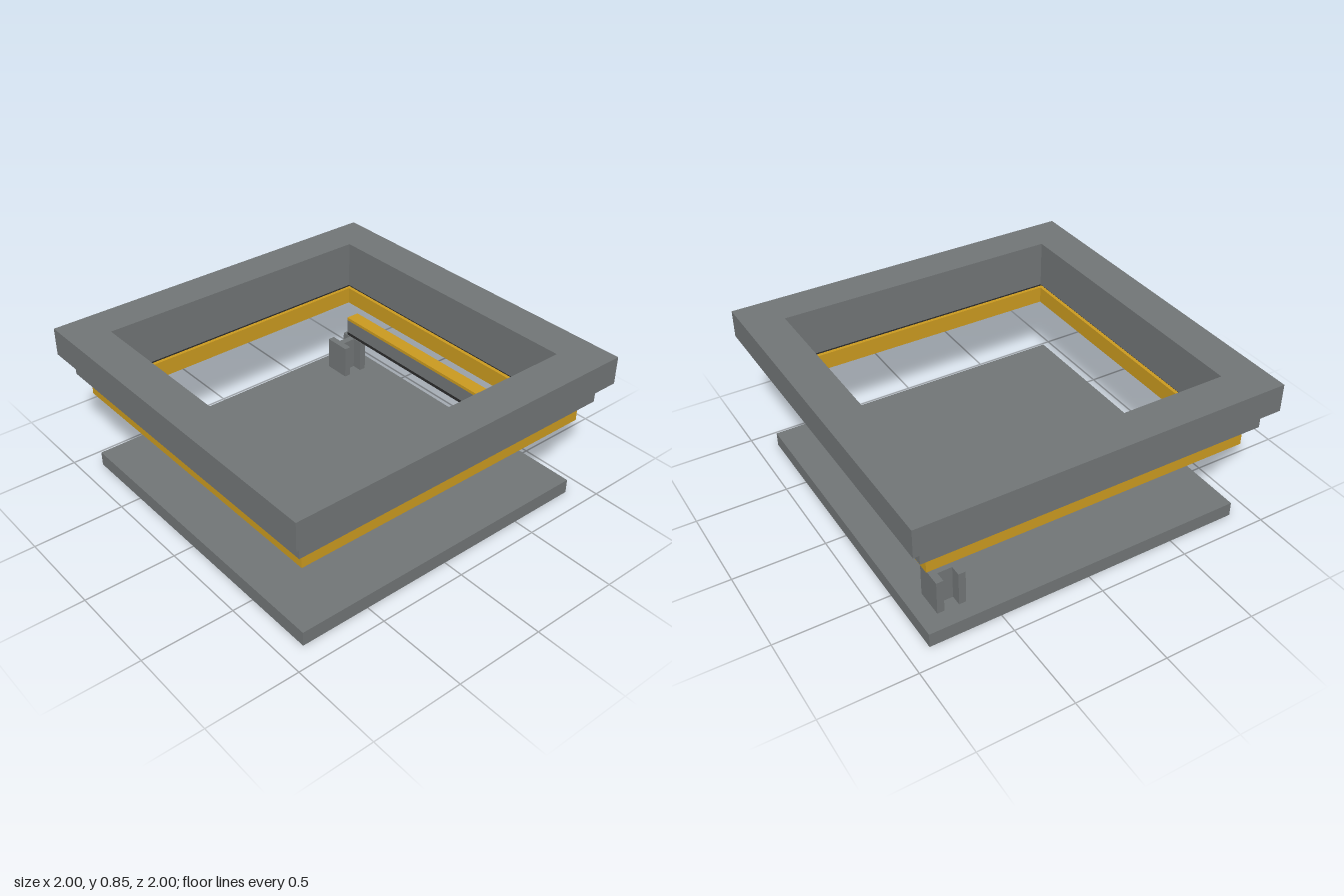
import * as THREE from 'three';

export function createModel() {
  const model = new THREE.Group();
  const grey = new THREE.MeshStandardMaterial({ color: 0x707475 });
  grey.name = 'grey';
  const gold = new THREE.MeshStandardMaterial({ color: 0xc8981f });
  gold.name = 'gold';
  const black = new THREE.MeshStandardMaterial({ color: 0x2b2b2b });
  black.name = 'black';

  const add = (name, geometry, material) => {
    const mesh = new THREE.Mesh(geometry, material);
    mesh.name = name;
    model.add(mesh);
  };

  // Box given by its limits on each axis
  const box = (name, material, [x0, x1], [y0, y1], [z0, z1]) => {
    const g = new THREE.BoxGeometry(x1 - x0, y1 - y0, z1 - z0);
    g.translate((x0 + x1) / 2, (y0 + y1) / 2, (z0 + z1) / 2);
    add(name, g, material);
  };

  // Plan outline (x, z) raised from y0 to y1
  const raise = (shape, y0, y1) =>
    new THREE.ExtrudeGeometry(shape, { depth: y1 - y0, bevelEnabled: false })
      .rotateX(-Math.PI / 2).translate(0, y0, 0);

  const square = (h) => [[-h, -h], [h, -h], [h, h], [-h, h]].map(([x, y]) => new THREE.Vector2(x, y));

  // Square frame with a square opening
  const ring = (name, material, outer, inner, y0, y1) => {
    const shape = new THREE.Shape(square(outer));
    shape.holes.push(new THREE.Path(square(inner)));
    add(name, raise(shape, y0, y1), material);
  };

  // Stepped upper frame
  ring('topFrame', grey, 1, 0.79, 0.695, 0.847);
  ring('steppedFrame', grey, 0.94, 0.79, 0.582, 0.695);
  ring('frameGasket', black, 0.886, 0.81, 0.56, 0.582);
  ring('goldFrame', gold, 0.886, 0.79, 0.465, 0.56);

  // Cross bar along the back
  const barX = [-0.71, 0.71], barZ = [-0.79, -0.712];
  box('barCap', gold, barX, [0.408, 0.425], barZ);
  box('bar', grey, barX, [0.328, 0.408], barZ);
  box('barGasket', black, barX, [0.31, 0.328], barZ);

  // I-section post at the back right corner
  const post = [
    [-0.79, 0.79], [-0.79, 0.752], [-0.732, 0.752], [-0.732, 0.674],
    [-0.79, 0.674], [-0.79, 0.636], [-0.636, 0.636], [-0.636, 0.674],
    [-0.694, 0.674], [-0.694, 0.752], [-0.636, 0.752], [-0.636, 0.79],
  ].map(([x, y]) => new THREE.Vector2(x, y));
  add('cornerPost', raise(new THREE.Shape(post), 0.08, 0.27), grey);

  // Base plate
  box('basePlate', grey, [-0.886, 0.886], [0, 0.08], [-0.886, 0.886]);

  return model;
}
